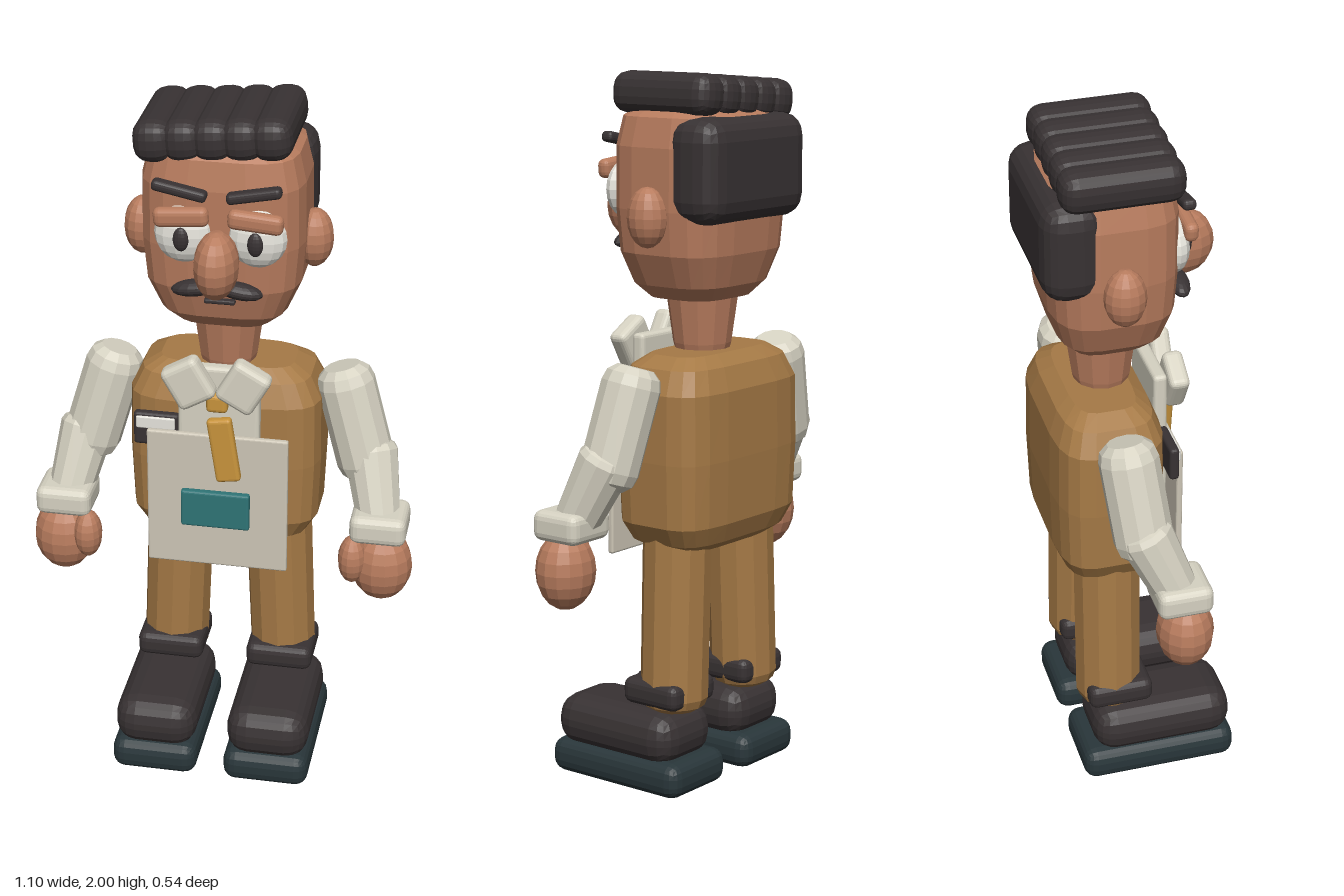
import * as THREE from 'three';
import { RoundedBoxGeometry } from 'three/addons/geometries/RoundedBoxGeometry.js';

const mat = (color) => new THREE.MeshStandardMaterial({ color, flatShading: true });
const skin = mat(0xb87c5e), brown = mat(0xa67a46), cloth = mat(0xd6d2c2), dark = mat(0x383233);
const soleMat = mat(0x29363a), gold = mat(0xc8943c), teal = mat(0x2f7476), paper = mat(0xcdc6b6);
const white = mat(0xe6e4dc);

export function createModel() {
  const model = new THREE.Group();
  model.name = 'cartoonMan';

  const add = (name, geometry, material, [x, y, z], rz = 0) => {
    const mesh = new THREE.Mesh(geometry, material);
    mesh.name = name;
    mesh.position.set(x, y, z);
    mesh.rotation.z = rz;
    model.add(mesh);
    return mesh;
  };
  const box = (name, material, [w, h, d], r, pos, rz) =>
    add(name, new RoundedBoxGeometry(w, h, d, 2, r), material, pos, rz);
  const ball = (name, material, [a, b, c], pos, rz) =>
    add(name, new THREE.SphereGeometry(1, 14, 10).scale(a, b, c), material, pos, rz);

  // Tapered limb with chamfered ends between two points
  const limb = (name, material, from, to, r0, r1, chamfer = 0.05) => {
    const a = new THREE.Vector3(...from), dir = new THREE.Vector3(...to).sub(a);
    const len = dir.length();
    const profile = [[0, 0], [r0 * 0.62, 0], [r0 * 0.9, chamfer * 0.4], [r0, chamfer],
      [r1, len - chamfer], [r1 * 0.9, len - chamfer * 0.4], [r1 * 0.62, len], [0, len]];
    const geo = new THREE.LatheGeometry(profile.map((p) => new THREE.Vector2(...p)), 12);
    const mesh = add(name, geo, material, from);
    mesh.quaternion.setFromUnitVectors(new THREE.Vector3(0, 1, 0), dir.normalize());
  };

  // Stacked rounded-rectangle sections [y, halfWidth, halfDepth], closed at both ends
  const loft = (name, material, rows, power, zc) => {
    const sides = 20, pos = [], index = [];
    const rounded = (v) => Math.sign(v) * Math.abs(v) ** (2 / power);
    const first = rows[0], last = rows[rows.length - 1];
    const all = [[first[0], 0, 0], ...rows, [last[0], 0, 0]];
    all.forEach(([y, w, d], i) => {
      for (let j = 0; j < sides; j++) {
        const t = ((j + 0.5) / sides) * Math.PI * 2;
        pos.push(w * rounded(Math.cos(t)), y, d * rounded(Math.sin(t)));
        if (i === all.length - 1) continue;
        const a = i * sides + j, b = i * sides + ((j + 1) % sides);
        index.push(a, a + sides, b, b, a + sides, b + sides);
      }
    });
    const geo = new THREE.BufferGeometry();
    geo.setAttribute('position', new THREE.Float32BufferAttribute(pos, 3));
    geo.setIndex(index);
    geo.computeVertexNormals();
    add(name, geo, material, [0, 0, zc]);
  };

  // Head, neck and torso
  loft('head', skin, [[1.38, 0.13, 0.11], [1.42, 0.175, 0.145], [1.51, 0.215, 0.172], [1.63, 0.226, 0.18],
    [1.8, 0.224, 0.18], [1.88, 0.205, 0.165], [1.91, 0.16, 0.13]], 3.6, -0.055);
  limb('neck', skin, [0, 1.2, -0.06], [0, 1.43, -0.06], 0.082, 0.1);
  loft('vest', brown, [[0.69, 0.19, 0.095], [0.715, 0.235, 0.13], [0.77, 0.268, 0.152], [0.95, 0.275, 0.158],
    [1.14, 0.272, 0.155], [1.205, 0.24, 0.13], [1.235, 0.19, 0.09]], 4.2, -0.083);

  // Hair: five swept rolls on top and a block behind
  for (let i = 0; i < 5; i++) {
    box('hairRoll', dark, [0.112, 0.116, 0.337], 0.045, [-0.177 + i * 0.079, 1.915 + i * 0.0065, -0.05], 0.08);
  }
  box('backHair', dark, [0.455, 0.29, 0.17], 0.065, [0, 1.74, -0.182]);

  // Face
  ball('nose', skin, [0.061, 0.095, 0.085], [0.01, 1.615, 0.175]);
  box('mouth', dark, [0.085, 0.013, 0.02], 0.005, [0.01, 1.487, 0.125]);
  for (const s of [-1, 1]) {
    const x = 0.01 + s * 0.1;
    ball('ear', skin, [0.052, 0.083, 0.058], [s * 0.238, 1.615, -0.057]);
    ball('eye', white, [0.08, 0.082, 0.042], [x, 1.675, 0.115]);
    ball('pupil', dark, [0.022, 0.034, 0.014], [x, 1.672, 0.153]);
    box('eyelid', skin, [0.15, 0.054, 0.04], 0.018, [x, 1.735, 0.148], -s * 0.08);
    box('eyebrow', dark, [0.15, 0.03, 0.038], 0.012, [x - 0.006, 1.806, 0.138], s * 0.2);
    ball('moustache', dark, [0.066, 0.023, 0.03], [0.005 + s * 0.06, 1.53, 0.142], -s * 0.15);
  }

  // Shirt front, buttons, collar and tie
  box('shirtFront', cloth, [0.23, 0.43, 0.04], 0.012, [0, 1.055, 0.08]);
  for (const y of [0.85, 0.925]) ball('button', gold, [0.014, 0.014, 0.01], [0, y, 0.1]);
  for (const s of [-1, 1]) {
    box('collar', cloth, [0.115, 0.13, 0.058], 0.018, [s * 0.077, 1.235, 0.126], -s * 0.52);
  }
  box('tieKnot', gold, [0.06, 0.055, 0.035], 0.012, [0, 1.172, 0.112]);
  box('tieBlade', gold, [0.07, 0.195, 0.03], 0.01, [0.022, 1.035, 0.13], 0.15);

  // Hanging sheet with coloured panel, and chest badge
  box('sheet', paper, [0.4, 0.42, 0.018], 0.006, [0, 0.86, 0.112]);
  box('sheetPanel', teal, [0.195, 0.112, 0.024], 0.007, [-0.002, 0.843, 0.134]);
  box('badge', dark, [0.13, 0.1, 0.028], 0.01, [-0.177, 1.06, 0.084]);
  box('badgeLabel', white, [0.11, 0.036, 0.012], 0.004, [-0.178, 1.083, 0.098]);

  for (const s of [-1, 1]) {
    // Arms
    limb('upperArm', cloth, [s * 0.318, 1.22, -0.08], [s * 0.41, 0.9, -0.045], 0.083, 0.083);
    limb('forearm', cloth, [s * 0.405, 1.0, -0.062], [s * 0.452, 0.78, 0.035], 0.078, 0.064, 0.03);
    box('sleeveCuff', cloth, [0.16, 0.085, 0.155], 0.025, [s * 0.453, 0.797, 0.037]);
    ball('hand', skin, [0.088, 0.11, 0.08], [s * 0.463, 0.668, 0.05]);
    ball('thumb', skin, [0.041, 0.073, 0.048], [s * 0.384, 0.698, 0.09]);

    // Legs
    limb('leg', brown, [s * 0.164, 0.225, -0.088], [s * 0.142, 0.78, -0.085], 0.096, 0.097, 0.04);
    box('trouserCuff', dark, [0.195, 0.075, 0.19], 0.025, [s * 0.163, 0.283, -0.07]);

    // Shoes
    box('shoe', dark, [0.24, 0.15, 0.415], 0.065, [s * 0.165, 0.155, 0.056]);
    box('shoeSole', soleMat, [0.25, 0.1, 0.457], 0.038, [s * 0.165, 0.05, 0.041]);
  }
  return model;
}
